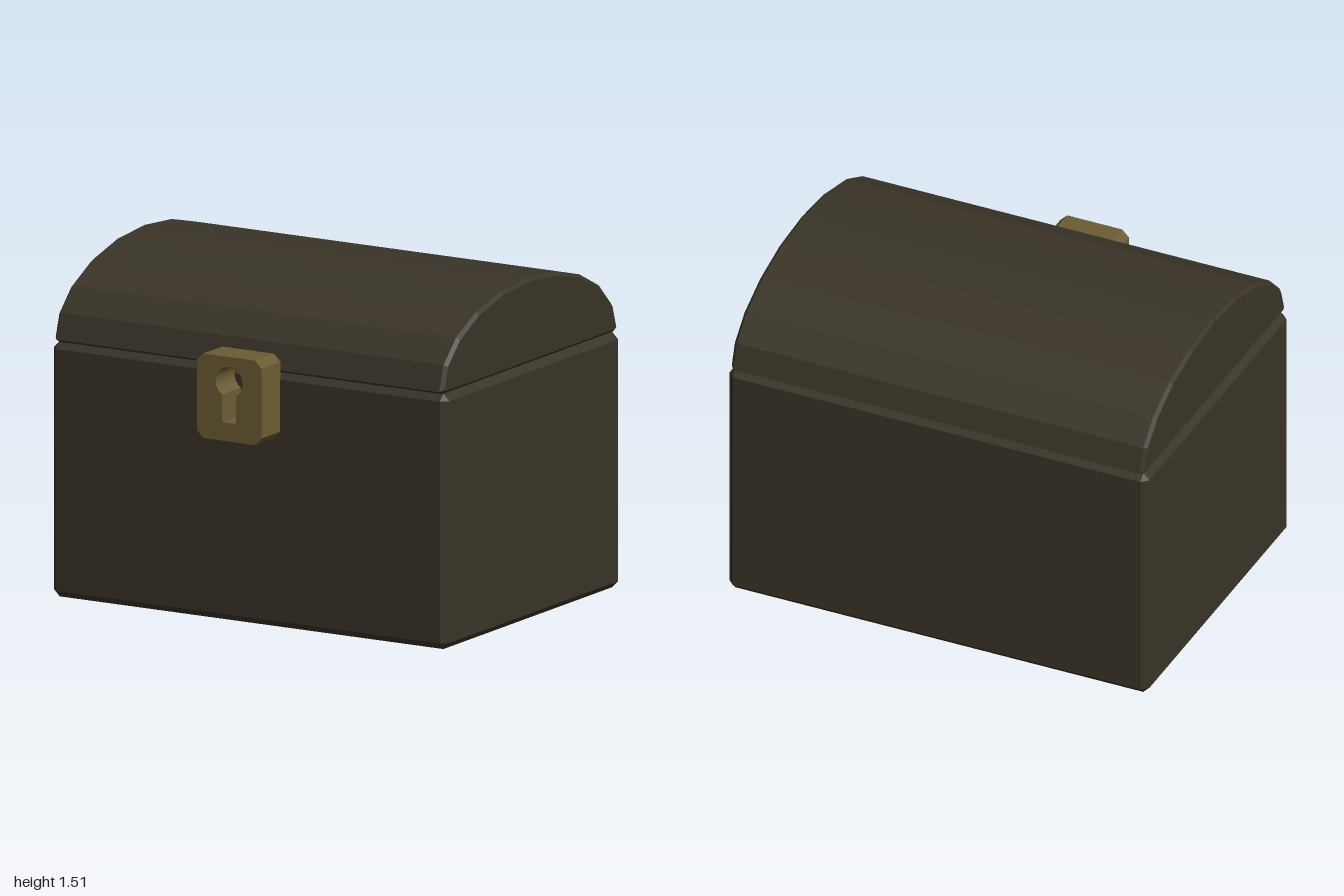
import * as THREE from 'three';
import { ConvexGeometry } from 'three/addons/geometries/ConvexGeometry.js';

const wood = new THREE.MeshStandardMaterial({ color: 0x3a3428, flatShading: true });
const brass = new THREE.MeshStandardMaterial({ color: 0x6b5c35, flatShading: true });

// Box with every edge chamfered by c, centred on the origin
function chamferBox(w, h, d, c) {
  const points = [];
  const x = w / 2, y = h / 2, z = d / 2;
  for (const sx of [-1, 1]) for (const sy of [-1, 1]) for (const sz of [-1, 1]) {
    points.push(
      new THREE.Vector3(sx * x, sy * (y - c), sz * (z - c)),
      new THREE.Vector3(sx * (x - c), sy * y, sz * (z - c)),
      new THREE.Vector3(sx * (x - c), sy * (y - c), sz * z)
    );
  }
  return new ConvexGeometry(points);
}

function addMesh(group, name, geometry, material) {
  const mesh = new THREE.Mesh(geometry, material);
  mesh.name = name;
  group.add(mesh);
  return mesh;
}

export function createModel() {
  const chest = new THREE.Group();
  chest.name = 'chest';
  const centreZ = -0.078;

  // Body
  addMesh(chest, 'body', chamferBox(2, 1.13, 1.455, 0.03), wood).position.set(0, 0.565, centreZ);

  // Lid: ten-sided half ellipse with a small undercut, extruded across the width
  const radius = 0.728, rise = 0.365, base = 1.142;
  const arch = [new THREE.Vector2(-radius + 0.025, 1.128), new THREE.Vector2(radius - 0.025, 1.128)];
  for (let i = 0; i <= 10; i++) {
    const a = (i / 10) * Math.PI;
    arch.push(new THREE.Vector2(radius * Math.cos(a), base + rise * Math.sin(a)));
  }
  const bevel = 0.015, lidWidth = 1.965;
  const lid = new THREE.ExtrudeGeometry(new THREE.Shape(arch), {
    depth: lidWidth - 2 * bevel, bevelEnabled: true, bevelSegments: 1,
    bevelThickness: bevel, bevelSize: bevel, bevelOffset: -bevel
  });
  lid.translate(0, 0, bevel - lidWidth / 2).rotateY(-Math.PI / 2);
  addMesh(chest, 'lid', lid, wood).position.z = centreZ;

  // Lock plate with cut corners
  const w = 0.163, bottom = 0.838, top = 1.212, c = 0.032;
  const plate = new THREE.Shape([
    [-w + c, bottom], [w - c, bottom], [w, bottom + c], [w, top - c],
    [w - c, top], [-w + c, top], [-w, top - c], [-w, bottom + c]
  ].map(([x, y]) => new THREE.Vector2(x, y)));

  // Keyhole: round top running into a straight slot
  const r = 0.068, slot = 0.036, holeY = 1.1;
  const start = -Math.acos(slot / r), sweep = Math.PI - 2 * start;
  const keyhole = [new THREE.Vector2(-slot, 0.92), new THREE.Vector2(slot, 0.92)];
  for (let i = 0; i <= 20; i++) {
    const a = start + (sweep * i) / 20;
    keyhole.push(new THREE.Vector2(r * Math.cos(a), holeY + r * Math.sin(a)));
  }
  plate.holes.push(new THREE.Path(keyhole));
  const lock = new THREE.ExtrudeGeometry(plate, { depth: 0.157, bevelEnabled: false });
  addMesh(chest, 'lock', lock, brass).position.z = 0.648;

  return chest;
}
